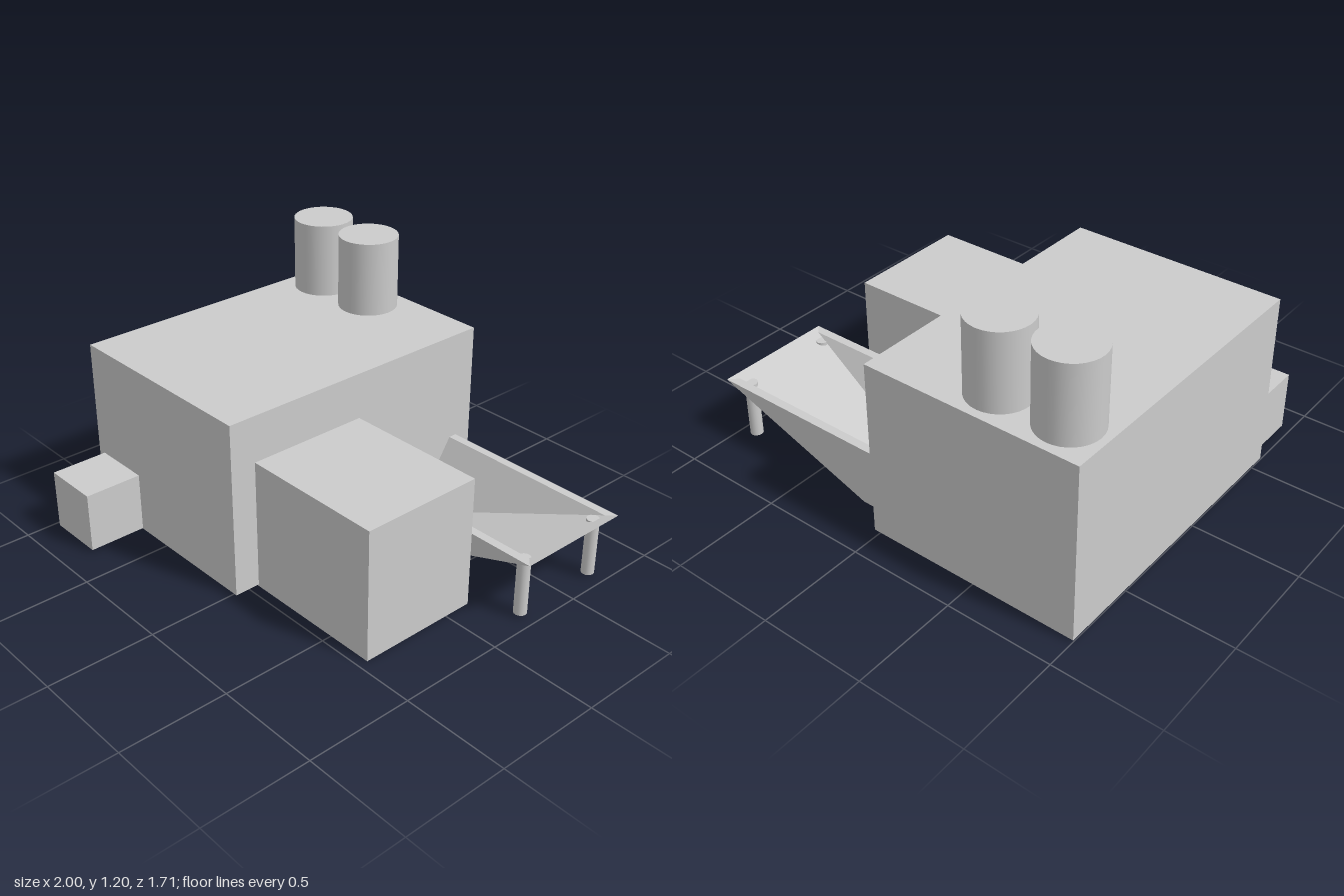
import * as THREE from 'three';

const grey = new THREE.MeshStandardMaterial({ color: 0xcccccc, side: THREE.DoubleSide });

function add(group, name, geometry) {
  const mesh = new THREE.Mesh(geometry, grey);
  mesh.name = name;
  group.add(mesh);
  return mesh;
}

// Hollow block given by its limits, open underneath
function openBox(group, name, [x0, x1], [y0, y1], [z0, z1]) {
  const geo = new THREE.BoxGeometry(x1 - x0, y1 - y0, z1 - z0);
  const index = Array.from(geo.index.array);
  index.splice(18, 6); // drop the bottom face
  geo.setIndex(index);
  geo.clearGroups();
  geo.translate((x0 + x1) / 2, (y0 + y1) / 2, (z0 + z1) / 2);
  return add(group, name, geo);
}

function cylinder(group, name, radius, y0, y1, x, z, sides) {
  const geo = new THREE.CylinderGeometry(radius, radius, y1 - y0, sides);
  add(group, name, geo).position.set(x, (y0 + y1) / 2, z);
}

// Flat four-cornered panel
function panel(group, name, a, b, c, d) {
  const geo = new THREE.BufferGeometry();
  geo.setAttribute('position', new THREE.Float32BufferAttribute([a, b, c, a, c, d].flat(), 3));
  geo.computeVertexNormals();
  add(group, name, geo);
}

export function createModel() {
  const model = new THREE.Group();
  model.name = 'factoryBuilding';

  openBox(model, 'mainHall', [-1, 0.025], [0.012, 0.845], [-0.855, 0.577]);
  openBox(model, 'sideAnnex', [0.02, 0.72], [0.003, 0.627], [-0.135, 0.453]);
  openBox(model, 'frontPorch', [-0.96, -0.68], [0.015, 0.3], [0.565, 0.853]);

  // Roof chimneys
  for (const x of [-0.825, -0.505]) cylinder(model, 'chimney', 0.142, 0.84, 1.2, x, -0.675, 32);

  // Loading chute with sloping underside and tapered inner walls
  const chute = new THREE.Group();
  chute.name = 'loadingChute';
  model.add(chute);
  const x0 = 0.025, kneeX = 0.17, tipX = 0.995, low = 0.03, top = 0.313;
  const midZ = -0.4775, outer = 0.288, rim = 0.247, inner = 0.068;
  const zA = midZ - outer, zB = midZ + outer;

  panel(chute, 'chuteSlope', [kneeX, low, zA], [tipX, top, zA], [tipX, top, zB], [kneeX, low, zB]);
  panel(chute, 'chuteFloor', [x0, low, zA], [kneeX, low, zA], [kneeX, low, zB], [x0, low, zB]);
  for (const s of [-1, 1]) {
    const zo = midZ + s * outer, zr = midZ + s * rim, zi = midZ + s * inner;
    panel(chute, 'chuteSide', [x0, low, zo], [kneeX, low, zo], [tipX, top, zo], [x0, top, zo]);
    panel(chute, 'chuteRim', [x0, top, zo], [tipX, top, zo], [0.955, top, zr], [x0, top, zr]);
    panel(chute, 'chuteInnerWall', [x0, top, zr], [0.955, top, zr], [kneeX, low + 0.005, zi], [x0, low + 0.005, zi]);
    cylinder(chute, 'chuteLeg', 0.03, 0.015, 0.293, 0.918, -0.47 + s * 0.224, 16);
  }
  return model;
}
